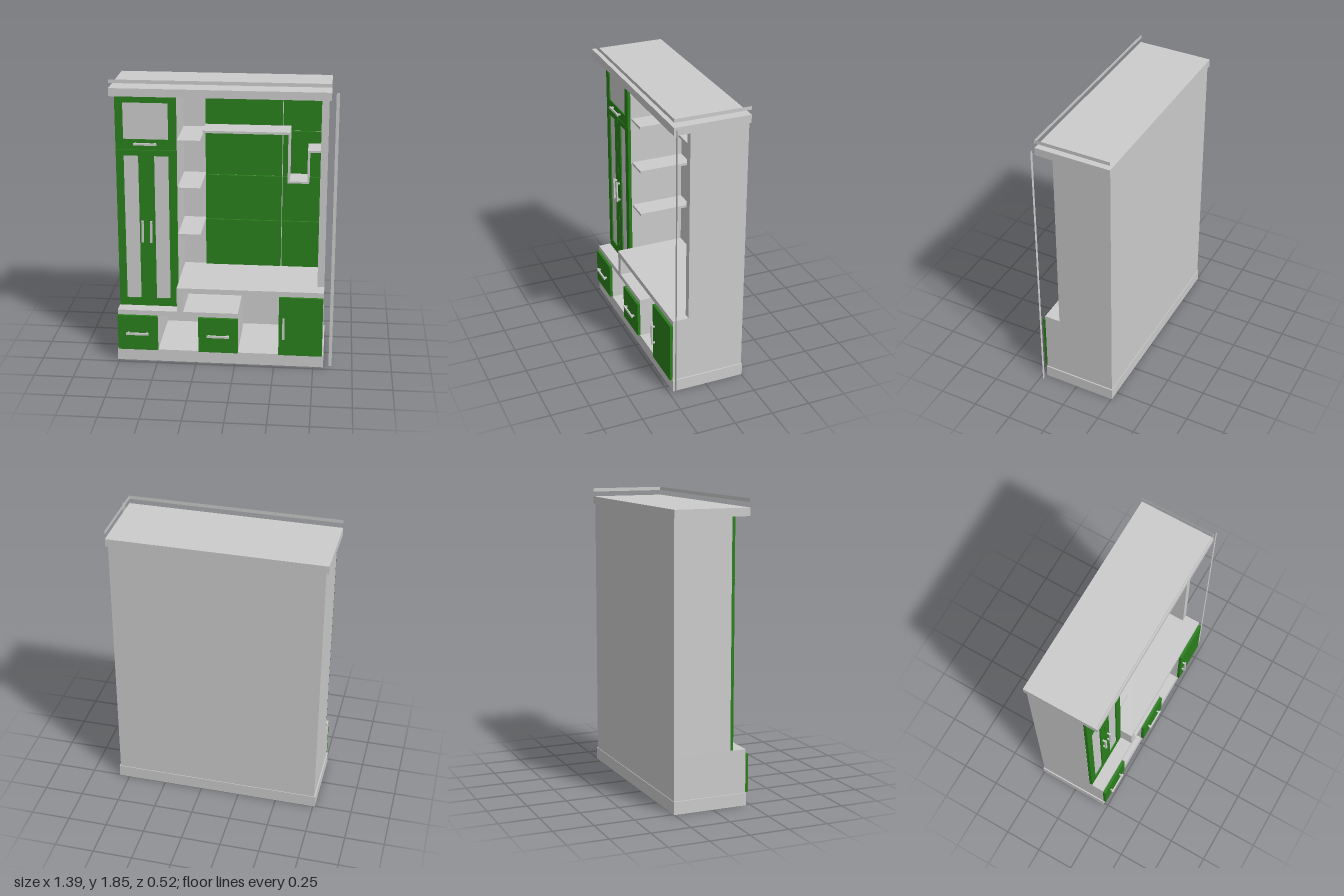
import * as THREE from 'three';

const grey = new THREE.MeshStandardMaterial({ color: 0xcccccc });
const thin = new THREE.MeshStandardMaterial({ color: 0xcccccc, side: THREE.DoubleSide });
const green = new THREE.MeshStandardMaterial({ color: 0x2a7f1c });

const BACK = -0.25, WALL = -0.235, UPPER = 0.117, LOWER = 0.22;

export function createModel() {
  const root = new THREE.Group();
  root.name = 'wallUnit';

  // Box given by its limits on each axis
  function box(name, x0, x1, y0, y1, z0, z1, material = grey, parent = root) {
    const mesh = new THREE.Mesh(new THREE.BoxGeometry(x1 - x0, y1 - y0, z1 - z0), material);
    mesh.position.set((x0 + x1) / 2, (y0 + y1) / 2, (z0 + z1) / 2);
    mesh.name = name;
    parent.add(mesh);
    return mesh;
  }

  function rect(path, x0, x1, y0, y1) {
    path.moveTo(x0, y0);
    path.lineTo(x1, y0);
    path.lineTo(x1, y1);
    path.lineTo(x0, y1);
    path.closePath();
    return path;
  }

  // Green door frame with a recessed grey panel in its window
  function framedDoor(name, [x0, x1, y0, y1], [a0, a1, b0, b1]) {
    const shape = rect(new THREE.Shape(), x0, x1, y0, y1);
    shape.holes.push(rect(new THREE.Path(), a0, a1, b0, b1));
    const geometry = new THREE.ExtrudeGeometry(shape, { depth: 0.02, bevelEnabled: false });
    const door = new THREE.Mesh(geometry, green);
    door.position.z = UPPER;
    door.name = name;
    root.add(door);
    box(name + 'Pane', a0, a1, b0, b1, UPPER + 0.002, UPPER + 0.012);
  }

  // Bar handle on two posts
  function handle(name, x, y, z, vertical) {
    const group = new THREE.Group();
    group.name = name;
    box('bar', -0.072, 0.072, -0.007, 0.007, 0.016, 0.026, grey, group);
    for (const s of [-1, 1]) {
      box('post', s * 0.06 - 0.005, s * 0.06 + 0.005, -0.005, 0.005, 0, 0.018, grey, group);
    }
    group.position.set(x, y, z);
    if (vertical) group.rotation.z = Math.PI / 2;
    root.add(group);
  }

  // Plinth, cornice and carcass
  box('plinth', -0.762, 0.566, 0, 0.08, -0.254, 0.222);
  box('cornice', -0.77, 0.573, 1.75, 1.8, -0.256, 0.224);
  box('backWall', -0.754, 0.558, 0.08, 1.75, BACK, WALL);
  box('leftSideUpper', -0.754, -0.734, 0.35, 1.75, WALL, UPPER);
  box('leftSideLower', -0.754, -0.734, 0.08, 0.32, WALL, LOWER);
  box('rightSideUpper', 0.515, 0.558, 0.51, 1.75, WALL, UPPER);
  box('rightSideLower', 0.538, 0.558, 0.08, 0.48, WALL, LOWER);
  box('towerSide', -0.393, -0.373, 0.35, 1.75, WALL, UPPER);

  // Horizontal tops of the lower cabinet and the support between them
  box('drawerTop', -0.754, 0.018, 0.318, 0.35, WALL, LOWER);
  box('mediaTop', -0.373, 0.558, 0.478, 0.512, WALL, LOWER);
  box('mediaTopSupport', -0.373, -0.333, 0.35, 0.478, WALL, LOWER);

  // Dividers of the lower cabinet
  for (const [x, top] of [[-0.517, 0.318], [-0.235, 0.318], [-0.002, 0.318], [0.278, 0.478]]) {
    box('divider', x, x + 0.02, 0.08, top, WALL, LOWER);
  }

  // Lower fronts
  box('leftDrawer', -0.754, -0.497, 0.082, 0.318, LOWER, LOWER + 0.018, green);
  box('middleDrawer', -0.235, 0.018, 0.082, 0.318, LOWER, LOWER + 0.018, green);
  box('lowerDoor', 0.278, 0.556, 0.082, 0.478, LOWER, LOWER + 0.018, green);
  handle('leftDrawerHandle', -0.625, 0.2, 0.236, false);
  handle('middleDrawerHandle', -0.107, 0.2, 0.236, false);
  handle('lowerDoorHandle', 0.309, 0.272, 0.236, true);

  // Tower doors
  framedDoor('towerTopDoor', [-0.752, -0.373, 1.394, 1.748], [-0.704, -0.423, 1.46, 1.692]);
  framedDoor('towerLeftDoor', [-0.752, -0.5635, 0.35, 1.391], [-0.704, -0.612, 0.402, 1.355]);
  framedDoor('towerRightDoor', [-0.5615, -0.373, 0.35, 1.391], [-0.513, -0.423, 0.402, 1.355]);
  handle('towerTopHandle', -0.566, 1.435, 0.137, false);
  handle('towerLeftHandle', -0.591, 0.864, 0.137, true);
  handle('towerRightHandle', -0.537, 0.864, 0.137, true);

  // Green back cladding, split by narrow grooves
  const columns = [-0.23, 0.267, 0.515], rows = [0.512, 0.83, 1.135, 1.44, 1.75], gap = 0.0025;
  for (let i = 0; i < 2; i++) {
    for (let j = 0; j < 4; j++) {
      box('backCladding', columns[i] + (i ? gap : 0), columns[i + 1] - (i ? 0 : gap),
        rows[j] + (j ? gap : 0), rows[j + 1] - (j < 3 ? gap : 0), WALL, WALL + 0.015, green);
    }
  }

  // Shelves beside the tower
  for (const y of [0.83, 1.138, 1.445]) box('sideShelf', -0.373, -0.23, y - 0.008, y + 0.008, WALL, 0.11);

  // Stepped wall shelf
  const zigzag = [
    [-0.23, 0.32, 1.459, 1.474], [0.308, 0.32, 1.143, 1.459], [0.32, 0.444, 1.143, 1.156],
    [0.432, 0.444, 1.156, 1.36], [0.444, 0.515, 1.347, 1.36],
  ];
  for (const limits of zigzag) box('steppedShelf', ...limits, WALL, -0.05);

  // Flat dimension strips
  function strip(name, w, h, x, y, z, turn = 0) {
    const mesh = new THREE.Mesh(new THREE.PlaneGeometry(w, h), thin);
    mesh.position.set(x, y, z);
    mesh.rotation.y = turn;
    mesh.name = name;
    root.add(mesh);
  }
  strip('widthStrip', 1.343, 0.022, -0.098, 1.842, 0.222);
  strip('heightStrip', 0.02, 1.79, 0.61, 0.905, 0.222);
  strip('depthStrip', 0.48, 0.022, 0.572, 1.842, -0.016, Math.PI / 2);

  return root;
}
